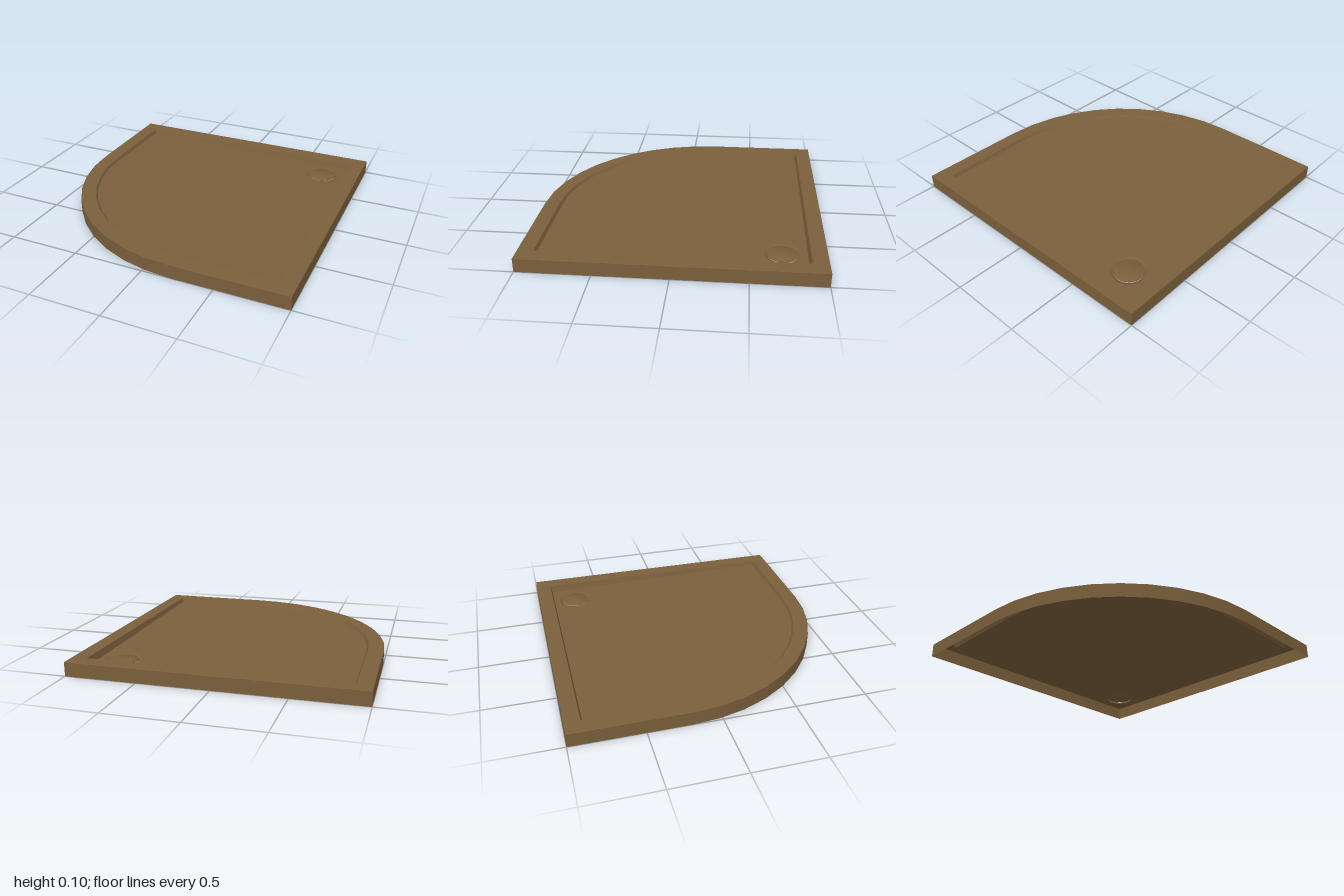
import * as THREE from 'three';
import { toCreasedNormals } from 'three/addons/utils/BufferGeometryUtils.js';

const RADIUS = 1.21, ARC_STEPS = 10;
const DRAIN = new THREE.Vector2(0.71, 0.715);

// Plan outline (x, -z) of the quadrant tray, inset by d
function outline(d) {
  const e = 1 - d, c = RADIUS - 1;
  const pts = [new THREE.Vector2(e, e), new THREE.Vector2(-e, e)];
  for (let i = 0; i <= ARC_STEPS; i++) {
    const a = Math.PI + (i / ARC_STEPS) * Math.PI / 2;
    pts.push(new THREE.Vector2(c + Math.cos(a) * (RADIUS - d), c + Math.sin(a) * (RADIUS - d)));
  }
  pts.push(new THREE.Vector2(e, -e));
  return pts;
}

function circle(r, n = 32) {
  return Array.from({ length: n }, (_, i) => {
    const a = (i / n) * Math.PI * 2;
    return new THREE.Vector2(DRAIN.x + Math.cos(a) * r, DRAIN.y + Math.sin(a) * r);
  });
}

// The floor falls gently towards the drain corner
const floorHeight = (p) => 0.05 + 0.012 * (1.77 - p.x - p.y);

// Skin a stack of closed loops, each given as points and a height rule
function loft(rings) {
  const pos = [], index = [], n = rings[0].pts.length;
  rings.forEach(({ pts, y }) => pts.forEach((p) => pos.push(p.x, y(p), -p.y)));
  for (let j = 0; j < rings.length - 1; j++) {
    for (let i = 0; i < n; i++) {
      const k = (i + 1) % n;
      const a = j * n + i, b = j * n + k, c = b + n, d = a + n;
      index.push(a, b, c, a, c, d);
    }
  }
  const geo = new THREE.BufferGeometry();
  geo.setAttribute('position', new THREE.Float32BufferAttribute(pos, 3));
  geo.setIndex(index);
  return toCreasedNormals(geo, 0.5);
}

export function createModel() {
  const group = new THREE.Group();
  const brown = new THREE.MeshStandardMaterial({ color: 0x7a5f3b, side: THREE.DoubleSide });
  brown.name = 'brown';

  const add = (name, geo) => {
    const mesh = new THREE.Mesh(geo, brown);
    mesh.name = name;
    group.add(mesh);
    return mesh;
  };

  // Outer wall, flat rim and the step down to the floor; open underneath
  const at = (h) => () => h;
  add('wallAndRim', loft([
    { pts: outline(0), y: at(0) },
    { pts: outline(0), y: at(0.097) },
    { pts: outline(0.003), y: at(0.1) },
    { pts: outline(0.108), y: at(0.1) },
    { pts: outline(0.12), y: floorHeight },
  ]));

  // Sloping floor with an opening for the drain
  const shape = new THREE.Shape(outline(0.12));
  shape.holes.push(new THREE.Path(circle(0.125)));
  const floor = new THREE.ShapeGeometry(shape);
  const p = floor.attributes.position;
  for (let i = 0; i < p.count; i++) {
    const v = new THREE.Vector2(p.getX(i), p.getY(i));
    p.setXYZ(i, v.x, floorHeight(v), -v.y);
  }
  floor.computeVertexNormals();
  add('floor', floor);

  // Shallow dished ring around the drain hole
  add('drainDish', loft([
    { pts: circle(0.125), y: floorHeight },
    { pts: circle(0.112), y: (q) => floorHeight(q) - 0.004 },
    { pts: circle(0.1), y: (q) => floorHeight(q) - 0.012 },
  ]));

  // Round cover floating just above the hole
  const profile = [[0.101, 0], [0.101, 0.005], [0.096, 0.008], [0, 0.009]]
    .map(([x, y]) => new THREE.Vector2(x, y));
  const cover = add('drainCover', toCreasedNormals(new THREE.LatheGeometry(profile, 32), 0.6));
  cover.position.set(DRAIN.x, 0.048, -DRAIN.y);

  return group;
}
